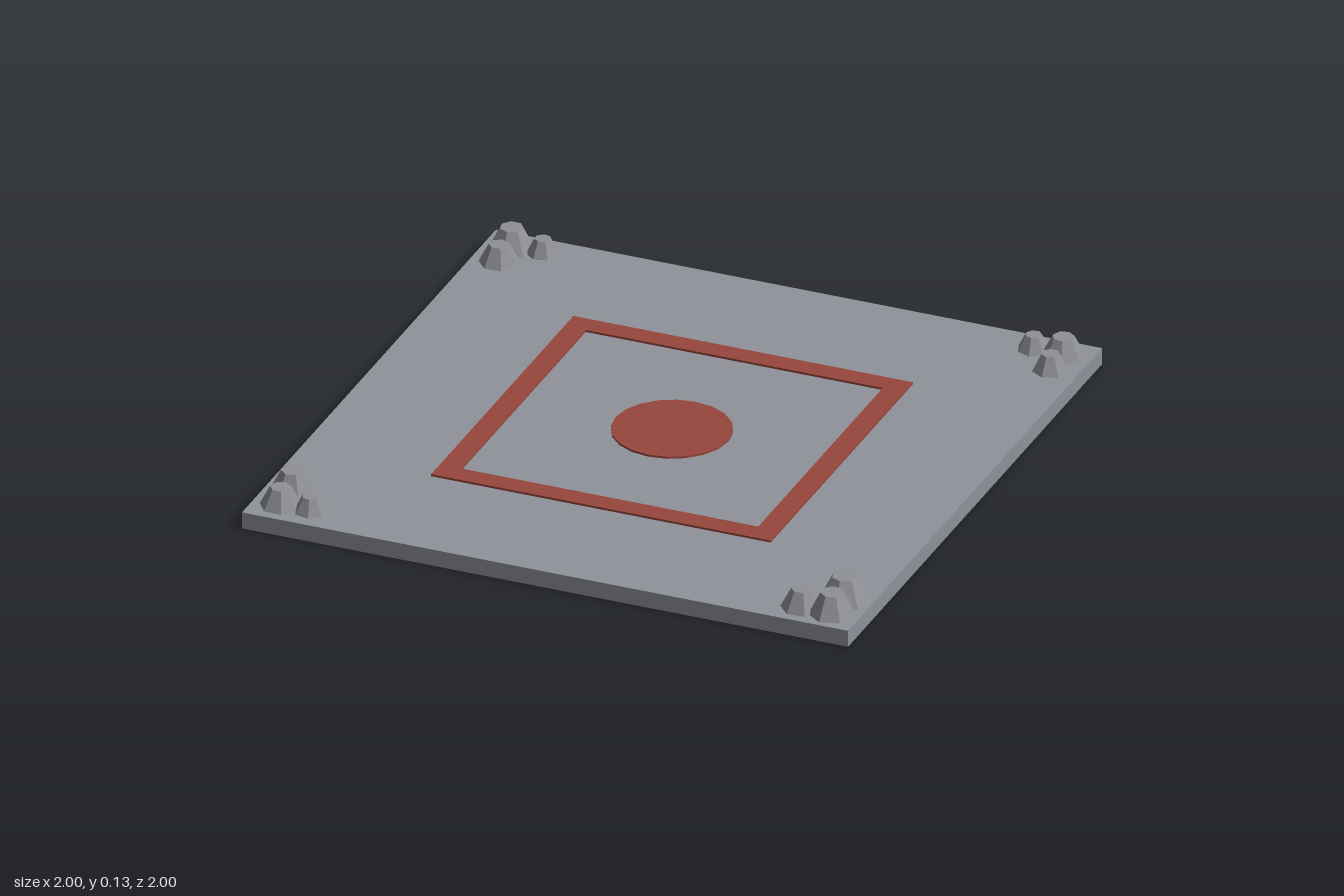
import * as THREE from 'three';

const SLAB_H = 0.055;

export function createModel() {
  const group = new THREE.Group();
  const material = (name, color) => {
    const m = new THREE.MeshStandardMaterial({ color, flatShading: true });
    m.name = name;
    return m;
  };
  const stone = material('stone grey', 0x8f929a);
  const rock = material('rock grey', 0x8e9095);
  const paint = material('rust red', 0x98473d);

  const add = (name, geometry, mat, x, y, z) => {
    const mesh = new THREE.Mesh(geometry, mat);
    mesh.name = name;
    mesh.position.set(x, y, z);
    group.add(mesh);
    return mesh;
  };

  // Square floor slab
  add('slab', new THREE.BoxGeometry(2, SLAB_H, 2), stone, 0, SLAB_H / 2, 0);

  // Painted square border: two full-length strips and two between them
  const t = 0.007, y = SLAB_H + t / 2, mid = 0.525, w = 0.07;
  for (const s of [-1, 1]) {
    add('borderStripAcross', new THREE.BoxGeometry(1.12, t, w), paint, 0, y, s * mid);
    add('borderStripAlong', new THREE.BoxGeometry(w, t, 0.98), paint, s * mid, y, 0);
  }

  // Painted disc in the middle
  add('centreDisc', new THREE.CylinderGeometry(0.187, 0.187, t, 20), paint, 0, y, 0);

  // Three faceted rocks in each corner: x, z, base radius
  const rocks = [
    [-0.91, -0.91, 0.074], [-0.81, -0.915, 0.052], [-0.91, -0.81, 0.063],
    [0.91, -0.91, 0.068], [0.81, -0.915, 0.052], [0.91, -0.81, 0.058],
    [-0.91, 0.81, 0.075], [-0.91, 0.91, 0.065], [-0.81, 0.91, 0.053],
    [0.91, 0.81, 0.082], [0.91, 0.91, 0.074], [0.81, 0.91, 0.066],
  ];
  rocks.forEach(([x, z, r], i) => {
    const h = r * 0.97;
    const mesh = add('cornerRock', new THREE.CylinderGeometry(r * 0.5, r, h, 7), rock,
      x, SLAB_H + h / 2, z);
    mesh.rotation.y = i * 0.7;
  });

  return group;
}
